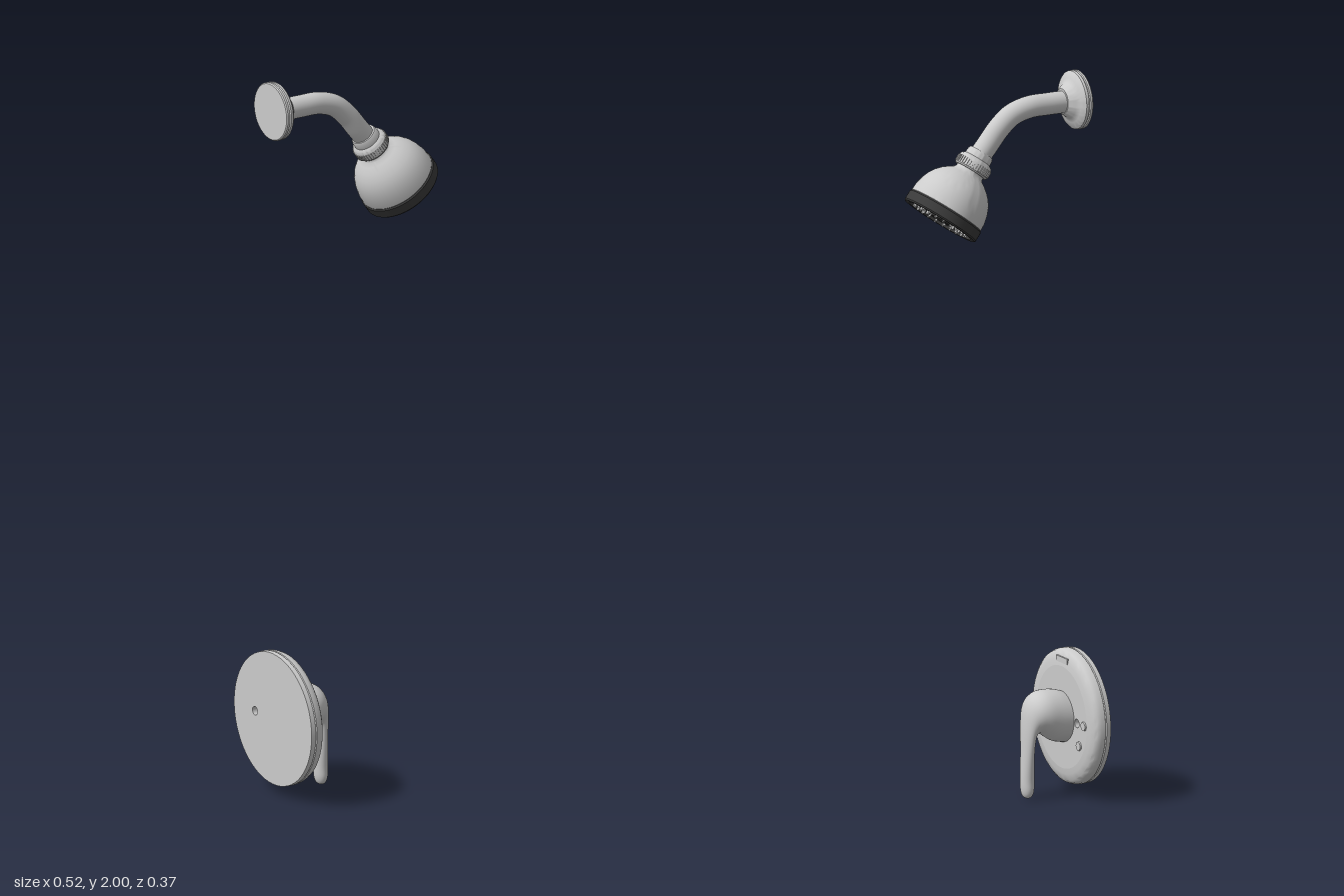
import * as THREE from 'three';
import { mergeGeometries, toCreasedNormals } from 'three/addons/utils/BufferGeometryUtils.js';

const grey = new THREE.MeshStandardMaterial({ color: 0xcccccc });
const greyBoth = new THREE.MeshStandardMaterial({ color: 0xcccccc, side: THREE.DoubleSide });
const dark = new THREE.MeshStandardMaterial({ color: 0x3a3a3a });

function add(parent, name, geometry, material = grey) {
  const mesh = new THREE.Mesh(geometry, material);
  mesh.name = name;
  parent.add(mesh);
  return mesh;
}

// Turned part from [radius, height] pairs, listed bottom to top
function turned(pairs, segments = 64) {
  const g = new THREE.LatheGeometry(pairs.map(([r, h]) => new THREE.Vector2(r, h)), segments);
  return toCreasedNormals(g, 0.6);
}

// Same, with the axis along +x
const turnedX = (pairs) => turned(pairs).rotateZ(-Math.PI / 2);

// Flat disc facing +x (side = 1) or -x (side = -1) with the small screw hole
function piercedDisc(radius, side) {
  const shape = new THREE.Shape().absarc(0, 0, radius, 0, Math.PI * 2);
  shape.holes.push(new THREE.Path().absarc(side * 0.085, 0, 0.012, 0, Math.PI * 2, true));
  return new THREE.ShapeGeometry(shape, 32).rotateY(side * Math.PI / 2);
}

// Lofted lever: each section spans an outer point, an inner point and a half width
function leverGeometry() {
  const sections = [
    [-0.225, 0.283, -0.225, 0.145, 0.07],
    [-0.19, 0.293, -0.185, 0.152, 0.069],
    [-0.15, 0.294, -0.16, 0.167, 0.066],
    [-0.122, 0.28, -0.144, 0.178, 0.058],
    [-0.105, 0.25, -0.134, 0.177, 0.046],
    [-0.098, 0.2, -0.129, 0.165, 0.036],
    [-0.095, 0.13, -0.127, 0.13, 0.028],
    [-0.092, 0.06, -0.128, 0.06, 0.023],
    [-0.093, 0.025, -0.127, 0.025, 0.023],
    [-0.099, 0.007, -0.121, 0.007, 0.015],
    [-0.11, 0.001, -0.11, 0.001, 0.0005],
  ];
  const outer = new THREE.CatmullRomCurve3(
    sections.map((s) => new THREE.Vector3(s[0], s[1], s[4])), false, 'catmullrom');
  const inner = new THREE.CatmullRomCurve3(
    sections.map((s) => new THREE.Vector3(s[2], s[3], s[4])), false, 'catmullrom');
  const rings = 50, around = 36, position = [], index = [];
  for (let i = 0; i <= rings; i++) {
    const o = outer.getPoint(i / rings), n = inner.getPoint(i / rings);
    for (let j = 0; j < around; j++) {
      const a = (j / around) * Math.PI * 2, c = Math.cos(a);
      position.push((o.x + n.x + (o.x - n.x) * c) / 2,
        Math.max(0, (o.y + n.y + (o.y - n.y) * c) / 2), o.z * Math.sin(a));
      if (i === rings) continue;
      const p = i * around + j, q = i * around + (j + 1) % around;
      index.push(p, q, p + around, q, q + around, p + around);
    }
  }
  const g = new THREE.BufferGeometry();
  g.setAttribute('position', new THREE.Float32BufferAttribute(position, 3));
  g.setIndex(index);
  g.computeVertexNormals();
  return g;
}

function createValve() {
  const valve = new THREE.Group();
  valve.name = 'valveControl';
  const plate = new THREE.Group();
  plate.name = 'wallPlate';
  plate.position.y = 0.214;
  valve.add(plate);

  // Stepped, rounded rim closed by two pierced discs
  add(plate, 'plateRim', turnedX([[0.184, -0.265], [0.185, -0.252], [0.182, -0.25], [0.185, -0.248],
    [0.184, -0.237], [0.18, -0.227], [0.172, -0.221], [0.155, -0.217], [0.14, -0.215]]));
  add(plate, 'plateFront', piercedDisc(0.14, 1)).position.x = -0.215;
  add(plate, 'plateBack', piercedDisc(0.184, -1)).position.x = -0.265;
  const hole = new THREE.CylinderGeometry(0.012, 0.012, 0.05, 24, 1, true).rotateZ(Math.PI / 2);
  add(plate, 'screwHole', hole, greyBoth).position.set(-0.24, 0, -0.085);

  // Small raised position markers
  for (const [y, z] of [[0, 0.124], [0, -0.125], [-0.06, -0.098]]) {
    const marker = new THREE.CylinderGeometry(0.012, 0.013, 0.006, 20).rotateZ(-Math.PI / 2);
    add(plate, 'positionMarker', marker).position.set(-0.214, y, z);
  }
  add(plate, 'topMarker', new THREE.BoxGeometry(0.008, 0.016, 0.06)).position.set(-0.219, 0.157, 0);

  add(valve, 'leverHandle', leverGeometry());
  return valve;
}

function createHead() {
  // Local +y runs from the spray face back towards the arm
  const head = new THREE.Group();
  head.name = 'showerHead';
  head.position.set(0.166, 1.63, -0.015);
  head.rotation.z = 0.634;

  add(head, 'headShell', turned([[0.1, 0.025], [0.108, 0.034], [0.107, 0.055], [0.101, 0.08],
    [0.094, 0.097], [0.084, 0.113], [0.07, 0.128], [0.055, 0.14], [0.044, 0.147], [0.04, 0.153],
    [0.04, 0.165]]));
  add(head, 'sprayRing', turned([[0.094, 0.008], [0.096, 0], [0.108, 0], [0.111, 0.004],
    [0.111, 0.029], [0.108, 0.033], [0.1, 0.033]]), dark);
  add(head, 'sprayFace', turned([[0, 0.003], [0.028, 0.003], [0.031, 0.008], [0.098, 0.008]]), dark);

  // Concentric rings of nozzles
  const nozzles = [];
  for (const [radius, count] of [[0.04, 10], [0.06, 16], [0.08, 22]]) {
    for (let i = 0; i < count; i++) {
      const a = (i / count) * Math.PI * 2;
      nozzles.push(new THREE.CylinderGeometry(0.0045, 0.003, 0.012, 10)
        .translate(radius * Math.cos(a), 0.004, radius * Math.sin(a)));
    }
  }
  add(head, 'nozzles', mergeGeometries(nozzles));

  // Ribbed swivel collar and the nut behind it
  add(head, 'swivelCollar', turned([[0.036, 0.158], [0.046, 0.158], [0.049, 0.162], [0.049, 0.184],
    [0.046, 0.19], [0.038, 0.195], [0.037, 0.21], [0.034, 0.216], [0.025, 0.216]]));
  const ribs = [];
  for (let i = 0; i < 40; i++) {
    ribs.push(new THREE.BoxGeometry(0.004, 0.018, 0.004)
      .translate(0.049, 0.173, 0).rotateY((i / 40) * Math.PI * 2));
  }
  add(head, 'collarRibs', mergeGeometries(ribs));
  return head;
}

export function createModel() {
  const model = new THREE.Group();
  model.name = 'showerSet';
  model.add(createValve());

  // Wall flange and bent arm
  const flange = turnedX([[0, -0.256], [0.077, -0.256], [0.08, -0.253], [0.08, -0.247], [0.077, -0.245],
    [0.08, -0.242], [0.079, -0.235], [0.074, -0.23], [0.06, -0.227], [0.048, -0.219], [0.038, -0.206],
    [0.034, -0.203], [0.025, -0.203]]);
  add(model, 'wallFlange', flange).position.set(0, 1.919, -0.025);
  const path = new THREE.CatmullRomCurve3([[-0.23, 1.917, -0.025], [-0.16, 1.917, -0.025],
    [-0.1, 1.915, -0.025], [-0.05, 1.899, -0.023], [-0.013, 1.867, -0.02], [0.02, 1.825, -0.017],
    [0.057, 1.779, -0.015]].map((p) => new THREE.Vector3(...p)));
  add(model, 'showerArm', new THREE.TubeGeometry(path, 60, 0.03, 32));

  model.add(createHead());
  return model;
}
